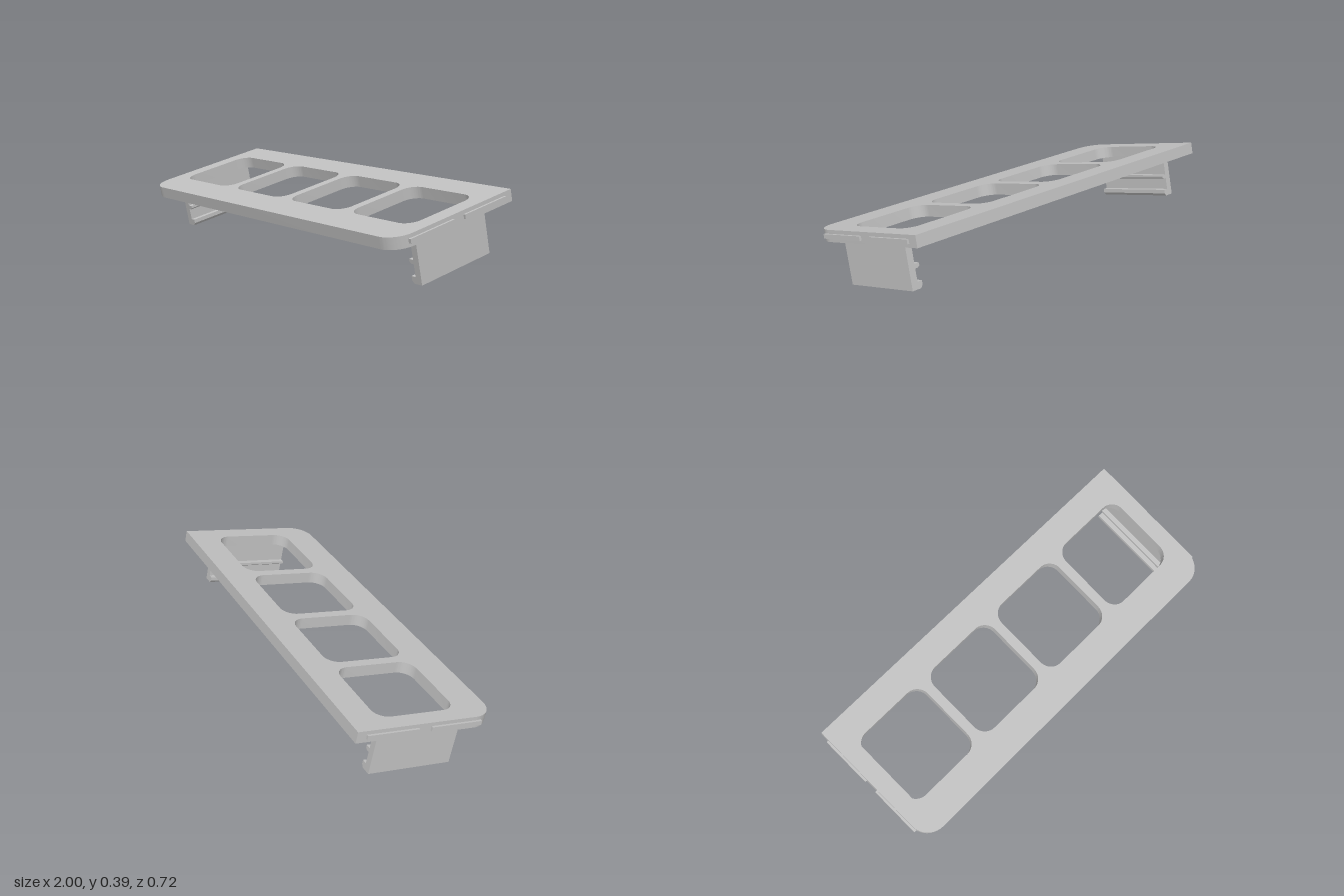
import * as THREE from 'three';
import { toCreasedNormals } from 'three/addons/utils/BufferGeometryUtils.js';

const TILT = THREE.MathUtils.degToRad(12.05);
const HALF_X = 0.989, HALF_Z = 0.3615, THICK = 0.058;

// Rectangle path with separate corner radii for the back (low z) and front (high z)
function roundedRect(path, x0, z0, x1, z1, rBack, rFront) {
  path.moveTo(x0 + rBack, z0);
  path.lineTo(x1 - rBack, z0);
  if (rBack) path.absarc(x1 - rBack, z0 + rBack, rBack, -Math.PI / 2, 0);
  path.lineTo(x1, z1 - rFront);
  path.absarc(x1 - rFront, z1 - rFront, rFront, 0, Math.PI / 2);
  path.lineTo(x0 + rFront, z1);
  path.absarc(x0 + rFront, z1 - rFront, rFront, Math.PI / 2, Math.PI);
  path.lineTo(x0, z0 + rBack);
  if (rBack) path.absarc(x0 + rBack, z0 + rBack, rBack, Math.PI, Math.PI * 1.5);
  return path;
}

export function createModel() {
  const grey = new THREE.MeshStandardMaterial({ color: 0xc0c0c0 });
  grey.name = 'grey';
  const model = new THREE.Group();
  model.name = 'switchPanelFrame';

  // Everything sits on one sloping plane whose top is local y = 0
  const frame = new THREE.Group();
  frame.name = 'tiltedFrame';
  frame.position.set(0, 0.3105, 0.0065);
  frame.rotation.x = TILT;
  model.add(frame);

  const add = (name, geometry) => {
    const mesh = new THREE.Mesh(geometry, grey);
    mesh.name = name;
    frame.add(mesh);
    return mesh;
  };

  // Face plate with four rounded openings
  const plate = roundedRect(new THREE.Shape(), -HALF_X, -HALF_Z, HALF_X, HALF_Z, 0, 0.105);
  for (let i = 0; i < 4; i++) {
    const x = (i - 1.5) * 0.465 - 0.002;
    plate.holes.push(roundedRect(new THREE.Path(), x - 0.2085, -0.217, x + 0.2085, 0.197, 0.07, 0.07));
  }
  const plateGeometry = new THREE.ExtrudeGeometry(plate, { depth: THICK, bevelEnabled: false, curveSegments: 12 });
  plateGeometry.rotateX(Math.PI / 2);
  add('facePlate', toCreasedNormals(plateGeometry, 0.6));

  // Clip leg section: outer wall, middle rib and bottom hook with chamfered lips
  const section = [
    [0.943, -THICK + 0.002], [0.943, -0.272], [0.893, -0.272], [0.882, -0.258],
    [0.882, -0.238], [0.908, -0.238], [0.908, -0.178], [0.893, -0.178],
    [0.882, -0.17], [0.882, -0.157], [0.908, -0.157], [0.908, -THICK + 0.002],
  ];

  for (const side of [1, -1]) {
    const label = side > 0 ? 'left' : 'right';
    const shape = new THREE.Shape(section.map(([x, y]) => new THREE.Vector2(x * side, y)));
    const leg = add(label + 'ClipLeg', new THREE.ExtrudeGeometry(shape, { depth: 0.432, bevelEnabled: false }));
    leg.position.z = -0.222;

    // Two thin snap ribs on each end of the plate
    for (const [part, z0, z1] of [['Front', 0.018, 0.285], ['Back', -0.313, -0.048]]) {
      const rib = add(label + part + 'SnapRib', new THREE.BoxGeometry(0.02, 0.0215, z1 - z0));
      rib.position.set(side * 0.99, -0.0293, (z0 + z1) / 2);
    }
  }
  return model;
}
